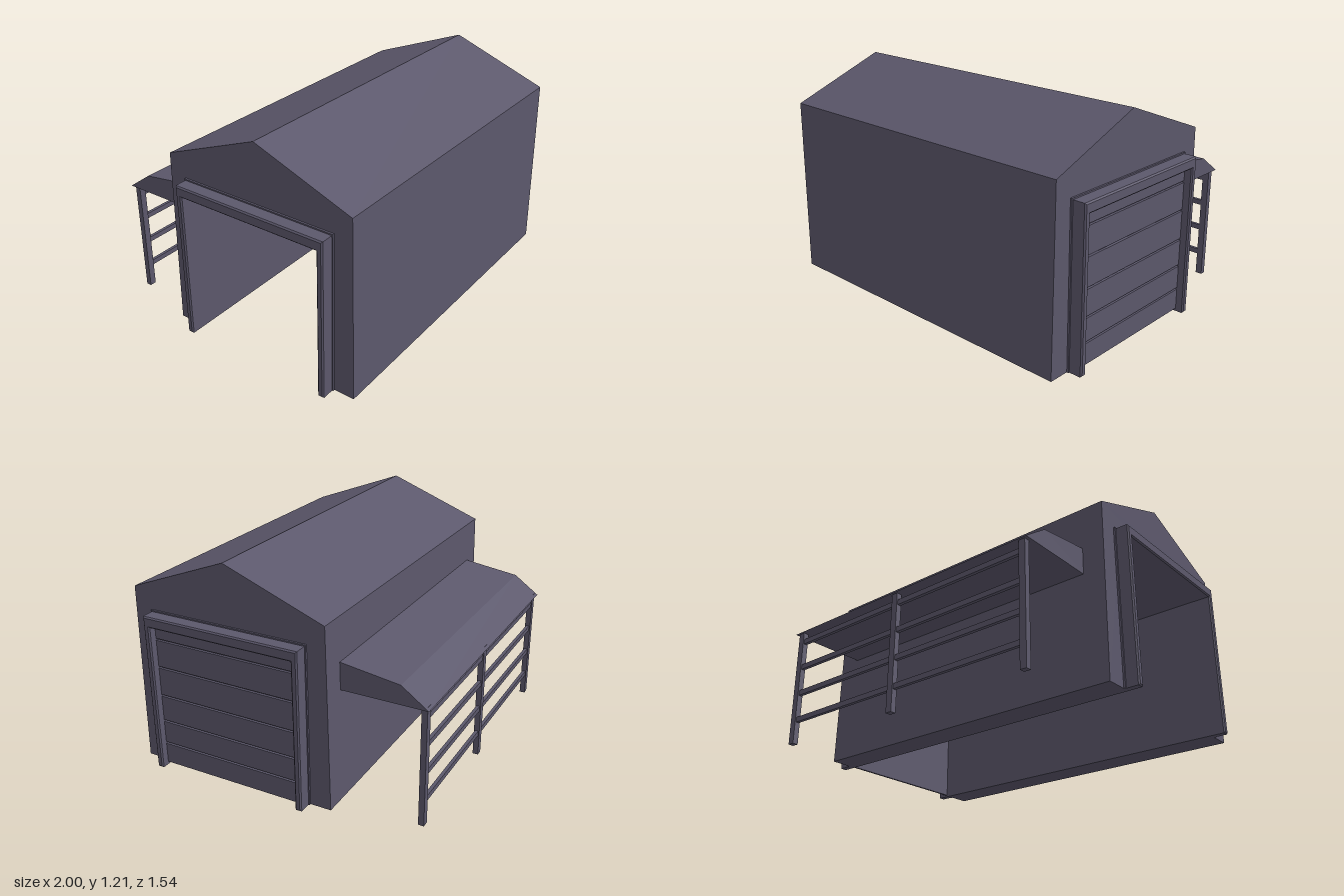
import * as THREE from 'three';

const material = new THREE.MeshStandardMaterial({ color: 0x5c586c, flatShading: true, side: THREE.DoubleSide });

// Extrudes a [z, y] outline along x from x0 to x1, with an optional chamfer.
function extrudeX(name, points, x0, x1, bevel = 0) {
  const shape = new THREE.Shape(points.map(([z, y]) => new THREE.Vector2(-z, y)));
  const geometry = new THREE.ExtrudeGeometry(shape, {
    depth: x1 - x0 - 2 * bevel,
    bevelEnabled: bevel > 0,
    bevelThickness: bevel,
    bevelSize: bevel,
    bevelOffset: -bevel,
    bevelSegments: 1,
  });
  geometry.translate(0, 0, x0 + bevel);
  geometry.rotateY(Math.PI / 2);
  const mesh = new THREE.Mesh(geometry, material);
  mesh.name = name;
  return mesh;
}

function box(name, w, h, d, x, y, z) {
  const mesh = new THREE.Mesh(new THREE.BoxGeometry(w, h, d), material);
  mesh.name = name;
  mesh.position.set(x, y, z);
  return mesh;
}

// Doorway outline centred on z = 0.22, open at the bottom.
function arch(outerHalf, outerTop, innerHalf, innerTop) {
  const c = 0.22, b = 0.04;
  return [
    [c + outerHalf, b], [c + outerHalf, outerTop], [c - outerHalf, outerTop], [c - outerHalf, b],
    [c - innerHalf, b], [c - innerHalf, innerTop], [c + innerHalf, innerTop], [c + innerHalf, b],
  ];
}

export function createModel() {
  const model = new THREE.Group();
  model.name = 'garage';

  // Thick gabled shell with a drive-through tunnel and no floor
  model.add(extrudeX('shell', [
    [0.77, 0.04], [0.755, 1.0], [0.22, 1.205], [-0.315, 1.0], [-0.332, 0.04],
    [-0.18, 0.04], [-0.18, 0.83], [0.62, 0.83], [0.62, 0.04],
  ], -0.92, 0.92));

  // Stepped door frames at both ends
  for (const side of [-1, 1]) {
    const frame = new THREE.Group();
    frame.name = side > 0 ? 'leftDoorFrame' : 'rightDoorFrame';
    const span = (a, b) => (side > 0 ? [a, b] : [-b, -a]);
    frame.add(
      extrudeX('frameFlange', arch(0.44, 0.893, 0.4, 0.83), ...span(0.915, 0.93)),
      extrudeX('frameBody', arch(0.434, 0.886, 0.4, 0.83), ...span(0.92, 1.0), 0.007),
    );
    model.add(frame);
  }

  // Closed sectional door at the left end
  const door = new THREE.Group();
  door.name = 'sectionalDoor';
  door.add(box('doorBacking', 0.012, 0.78, 0.8, 0.938, 0.44, 0.22));
  const seams = [0.05, 0.17, 0.3, 0.445, 0.603, 0.755, 0.83];
  for (let i = 0; i < seams.length - 1; i++) {
    const h = seams[i + 1] - seams[i];
    door.add(box('doorPanel', 0.014, h - 0.01, 0.8, 0.95, seams[i] + h / 2, 0.22));
  }
  model.add(door);

  // Solid awning along the back wall
  model.add(extrudeX('awning', [
    [-0.31, 0.775], [-0.63, 0.73], [-0.77, 0.63], [-0.31, 0.63],
  ], -0.8, 0.795));

  // Posts and rails under the awning's outer edge
  const fence = new THREE.Group();
  fence.name = 'awningFence';
  for (const x of [-0.765, 0.04, 0.76]) fence.add(box('post', 0.036, 0.64, 0.03, x, 0.32, -0.742));
  for (const y of [0.13, 0.28, 0.43, 0.58]) fence.add(box('rail', 1.525, 0.028, 0.018, -0.0025, y, -0.742));
  model.add(fence);

  return model;
}
